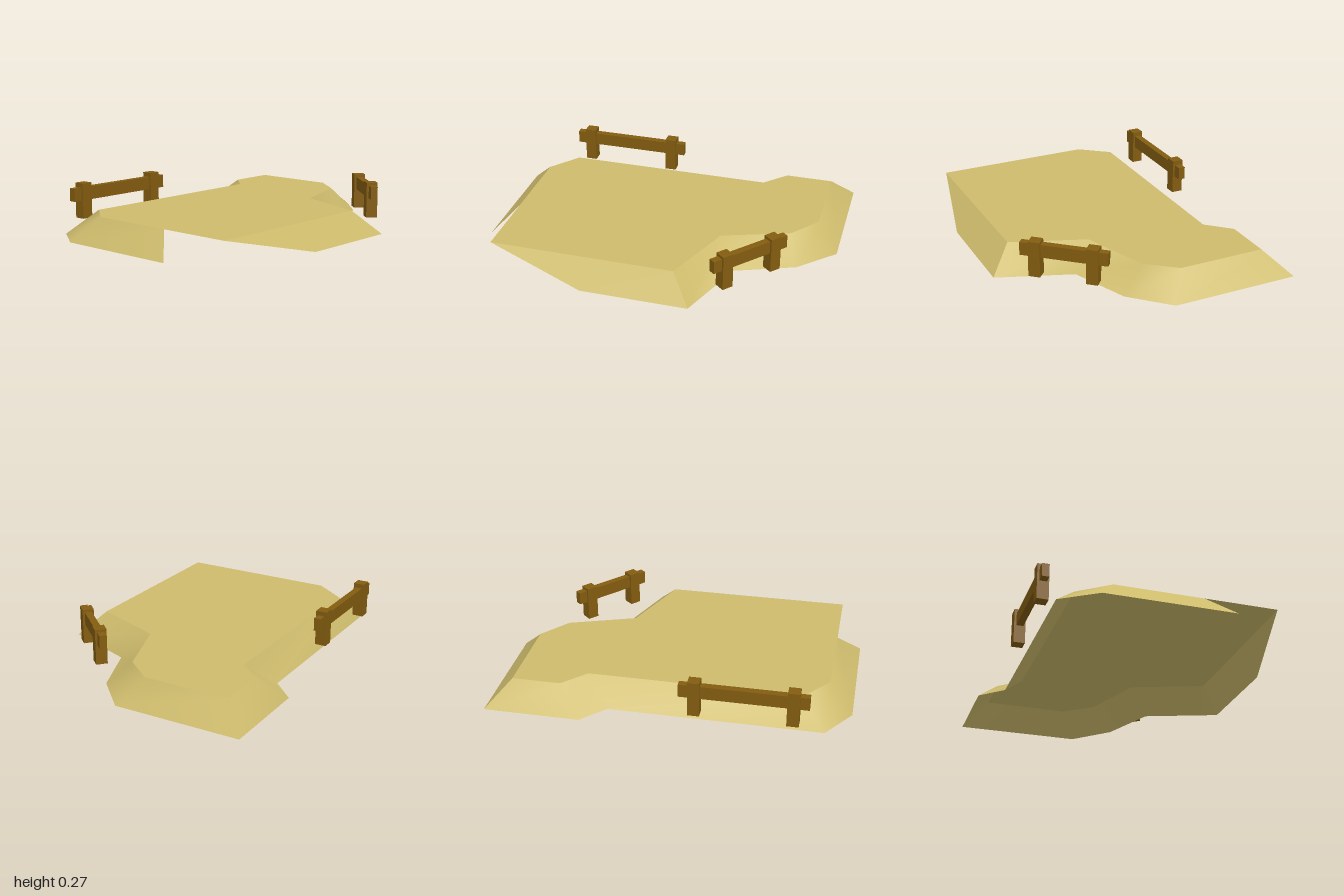
import * as THREE from 'three';
import { toCreasedNormals } from 'three/addons/utils/BufferGeometryUtils.js';

const TOP = 0.135;

// Bank cross-sections, clockwise from above: [top x, top z, foot x, foot z]
const bank = [
  [0.19, 0.865, 0.32, 1],
  [-0.31, 0.865, -0.41, 1],
  [-0.48, 0.73, -0.61, 0.865],
  [-0.48, -0.47, -0.61, -0.33],
  [-0.61, -0.595, -0.745, -0.46],
  [-0.61, -0.87, -0.745, -1],
  [-0.11, -0.87, -0.01, -1],
  [0.055, -0.74, 0.19, -0.8],
  [0.19, -0.36, 0.32, -0.47],
  [0.61, -0.2, 0.74, -0.315],
  [0.61, 0.865, 0.74, 0.295],
];

export function createModel() {
  const model = new THREE.Group();
  model.name = 'fencedGround';

  const sand = new THREE.MeshStandardMaterial({ color: 0xcdbb6c, side: THREE.DoubleSide });
  sand.name = 'sand';
  const wood = new THREE.MeshStandardMaterial({ color: 0x835c10 });
  wood.name = 'wood';

  const add = (parent, name, geometry, material, x = 0, y = 0, z = 0) => {
    const mesh = new THREE.Mesh(geometry, material);
    mesh.name = name;
    mesh.position.set(x, y, z);
    parent.add(mesh);
    return mesh;
  };

  // Flat plateau
  const outline = new THREE.Shape(bank.map(([x, z]) => new THREE.Vector2(x, -z)));
  add(model, 'plateau', new THREE.ShapeGeometry(outline).rotateX(-Math.PI / 2), sand, 0, TOP, 0);

  // Sloping bank, left open at the front corner and underneath
  const positions = [];
  for (let i = 0; i < bank.length - 1; i++) {
    const [ax, az, aX, aZ] = bank[i];
    const [bx, bz, bX, bZ] = bank[i + 1];
    const a = [ax, TOP, az], b = [bx, TOP, bz], A = [aX, 0, aZ], B = [bX, 0, bZ];
    positions.push(...a, ...b, ...B, ...a, ...B, ...A);
  }
  const slope = new THREE.BufferGeometry();
  slope.setAttribute('position', new THREE.Float32BufferAttribute(positions, 3));
  add(model, 'bank', toCreasedNormals(slope, 0.7), sand);

  // Fences: two posts and one rail along local z
  const addFence = (name, x, z, angle, bottom, top, spacing, length) => {
    const fence = new THREE.Group();
    fence.name = name;
    fence.position.set(x, 0, z);
    fence.rotation.y = angle;
    for (const side of [-1, 1]) {
      add(fence, 'post', new THREE.BoxGeometry(0.065, top - bottom, 0.066), wood,
        0, (top + bottom) / 2, side * spacing / 2);
    }
    add(fence, 'rail', new THREE.BoxGeometry(0.04, 0.075, length), wood, 0, 0.207, 0);
    model.add(fence);
  };
  addFence('sideFence', -0.648, 0.43, 0, 0.065, 0.27, 0.535, 0.705);
  addFence('backFence', 0.431, -0.574, 0.85, 0.055, 0.26, 0.32, 0.49);

  return model;
}
